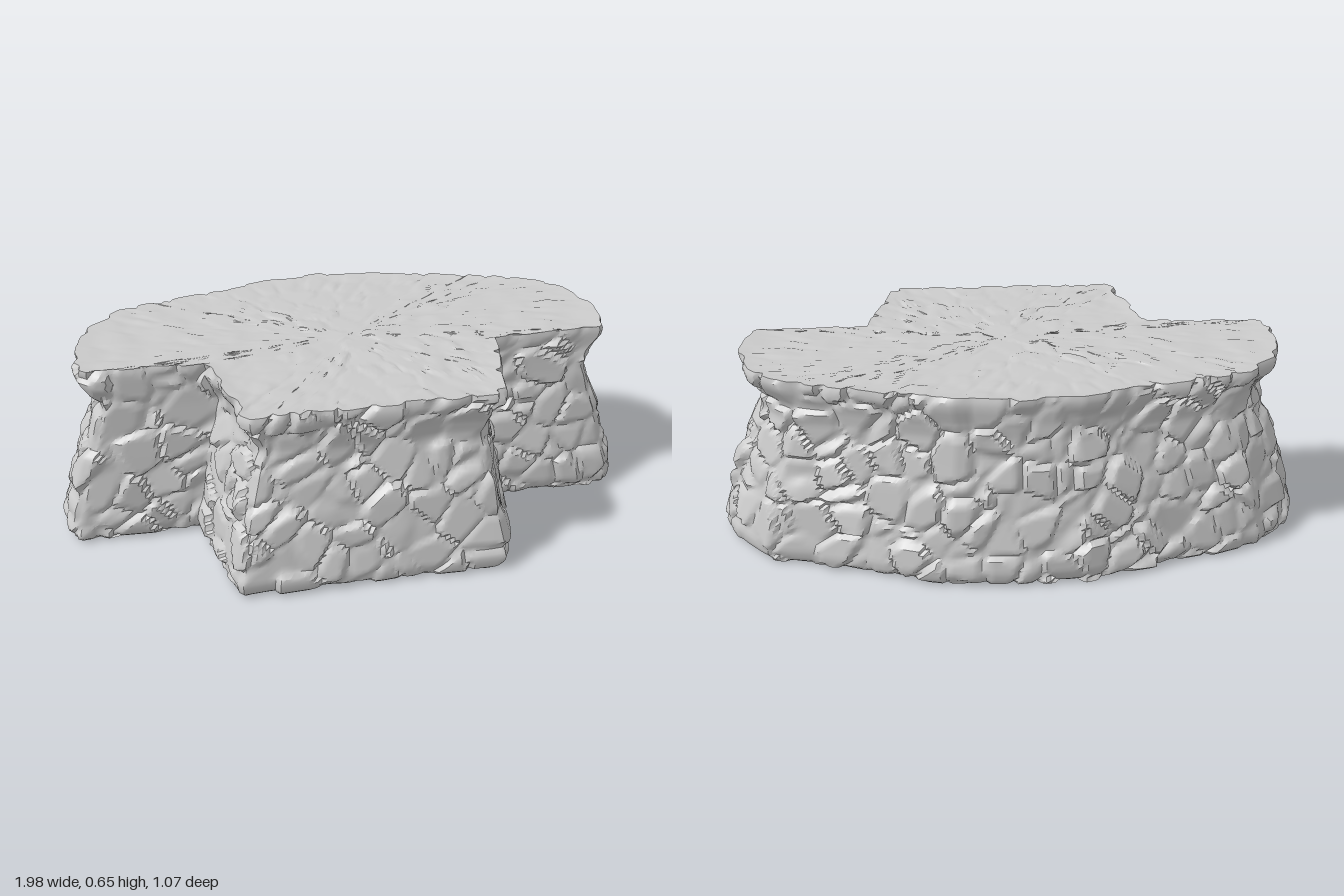
import * as THREE from 'three';
import { toCreasedNormals } from 'three/addons/utils/BufferGeometryUtils.js';

// Half plan outlines (x, z), front centre round to back centre
const BASE = [[0, 0.525], [0.43, 0.52], [0.455, 0.49], [0.535, 0.118], [0.93, 0.115], [0.965, 0.095],
  [0.985, 0.03], [0.992, -0.1], [0.94, -0.22], [0.82, -0.35], [0.52, -0.43], [0.22, -0.53], [0, -0.535]];
const TOP = [[0, 0.485], [0.375, 0.48], [0.395, 0.455], [0.48, 0.113], [0.85, 0.11], [0.875, 0.09],
  [0.888, 0.03], [0.888, -0.1], [0.835, -0.23], [0.735, -0.335], [0.43, -0.415], [0.2, -0.495], [0, -0.505]];
// Wall profile: height, blend from base to top outline (over 1 = narrow waist), inset
const PROFILE = [[0.01, 0, 0.025], [0.025, 0, 0.008], [0.06, 0.02, 0], [0.2, 0.47, 0], [0.32, 0.85, 0],
  [0.42, 1.28, 0], [0.51, 1.62, 0], [0.56, 1.45, 0], [0.61, 1.05, 0], [0.635, 0.97, 0], [0.652, 1, 0.004]];

// Repeatable pseudo-random value for a lattice cell
function hash(x, y, z, k) {
  let h = Math.imul(x, 374761393) ^ Math.imul(y, 668265263) ^ Math.imul(z, 1274126177) ^ Math.imul(k + 7, 974634777);
  h = Math.imul(h ^ (h >>> 13), 1274126177);
  h = Math.imul(h ^ (h >>> 16), 2246822519);
  return ((h ^ (h >>> 15)) >>> 0) / 4294967296;
}

// Stone relief: each cell is a tilted facet, sunk at its joints; about -1 to 0.5
function stones(px, py, pz, size) {
  const x = px / size, y = py / size, z = pz / size;
  const ix = Math.floor(x), iy = Math.floor(y), iz = Math.floor(z);
  let f1 = 9, f2 = 9, facet = 0;
  for (let a = ix - 1; a <= ix + 1; a++)
    for (let b = iy - 1; b <= iy + 1; b++)
      for (let c = iz - 1; c <= iz + 1; c++) {
        const dx = x - a - hash(a, b, c, 0), dy = y - b - hash(a, b, c, 1), dz = z - c - hash(a, b, c, 2);
        const d = Math.hypot(dx, dy, dz);
        if (d < f1) {
          f2 = f1;
          f1 = d;
          const tilt = (k) => hash(a, b, c, k) - 0.5;
          facet = 0.7 * tilt(3) + 1.1 * (dx * tilt(4) + dy * tilt(5) + dz * tilt(6));
        } else if (d < f2) f2 = d;
      }
  const joint = THREE.MathUtils.smoothstep(f2 - f1, 0, 0.22);
  return joint * (facet + 0.55) - 0.55;
}

// Dense closed outline, as matching base and top points
function sampleOutline(step) {
  const mirror = (pts) => [...pts, ...pts.slice(1, -1).reverse().map(([x, z]) => [-x, z])];
  const base = mirror(BASE), top = mirror(TOP), out = [];
  base.forEach((p, i) => {
    const j = (i + 1) % base.length;
    const n = Math.max(1, Math.round(Math.hypot(base[j][0] - p[0], base[j][1] - p[1]) / step));
    const mix = (a, b, t) => [a[0] + (b[0] - a[0]) * t, a[1] + (b[1] - a[1]) * t];
    for (let k = 0; k < n; k++) out.push([mix(p, base[j], k / n), mix(top[i], top[j], k / n)]);
  });
  return out;
}

function profileAt(y) {
  let i = 0;
  while (i < PROFILE.length - 2 && y > PROFILE[i + 1][0]) i++;
  const a = PROFILE[i], b = PROFILE[i + 1], t = (y - a[0]) / (b[0] - a[0]);
  return [a[1] + (b[1] - a[1]) * t, a[2] + (b[2] - a[2]) * t];
}

// One horizontal ring of the wall, pushed in and out by the stones
function wallRing(outline, y) {
  const [blend, inset] = profileAt(y);
  const pts = outline.map(([a, b]) => [a[0] + (b[0] - a[0]) * blend, a[1] + (b[1] - a[1]) * blend]);
  const n = pts.length;
  return pts.map(([x, z], i) => {
    const p = pts[(i + n - 2) % n], q = pts[(i + 2) % n];
    const tx = q[0] - p[0], tz = q[1] - p[1], len = Math.hypot(tx, tz);
    const d = 0.026 * stones(x, y, z, 0.115) + 0.004 - inset;
    return [x - (tz / len) * d, y, z + (tx / len) * d];
  });
}

// A cap ring: the rim shrunk to the middle, with shallow relief facing inward
function capRing(rim, s, depth) {
  const fade = Math.min(1, (1 - s) * 12);
  return rim.map(([x, y, z]) => {
    const px = x * s, pz = z * s;
    return [px, y + depth * fade * (0.5 - stones(px, y, pz, 0.09)), pz];
  });
}

function createRock() {
  const outline = sampleOutline(0.015);
  const WALL = 48, CAP = 30, y0 = PROFILE[0][0], y1 = PROFILE[PROFILE.length - 1][0];
  const walls = [];
  for (let i = 0; i <= WALL; i++) walls.push(wallRing(outline, y0 + ((y1 - y0) * i) / WALL));
  const rings = [];
  for (let i = 0; i < CAP; i++) rings.push(capRing(walls[0], i / CAP, 0.012));
  rings.push(...walls);
  for (let i = CAP - 1; i >= 0; i--) rings.push(capRing(walls[WALL], i / CAP, -0.006));

  const n = outline.length, index = [];
  for (let r = 0; r < rings.length - 1; r++)
    for (let j = 0; j < n; j++) {
      const k = (j + 1) % n, a = r * n + j, b = r * n + k, c = a + n, d = b + n;
      if (r > 0) index.push(a, b, d);
      if (r < rings.length - 2) index.push(a, d, c);
      else if (r === rings.length - 2) index.push(a, b, c);
    }
  const geo = new THREE.BufferGeometry();
  geo.setAttribute('position', new THREE.Float32BufferAttribute(rings.flat(2), 3));
  geo.setIndex(index);
  return toCreasedNormals(geo, 0.7);
}

export function createModel() {
  const group = new THREE.Group();
  group.name = 'stonePlatform';
  const rock = new THREE.Mesh(createRock(), new THREE.MeshStandardMaterial({ color: 0xcccccc, roughness: 0.9 }));
  rock.name = 'rockBody';
  group.add(rock);
  return group;
}
